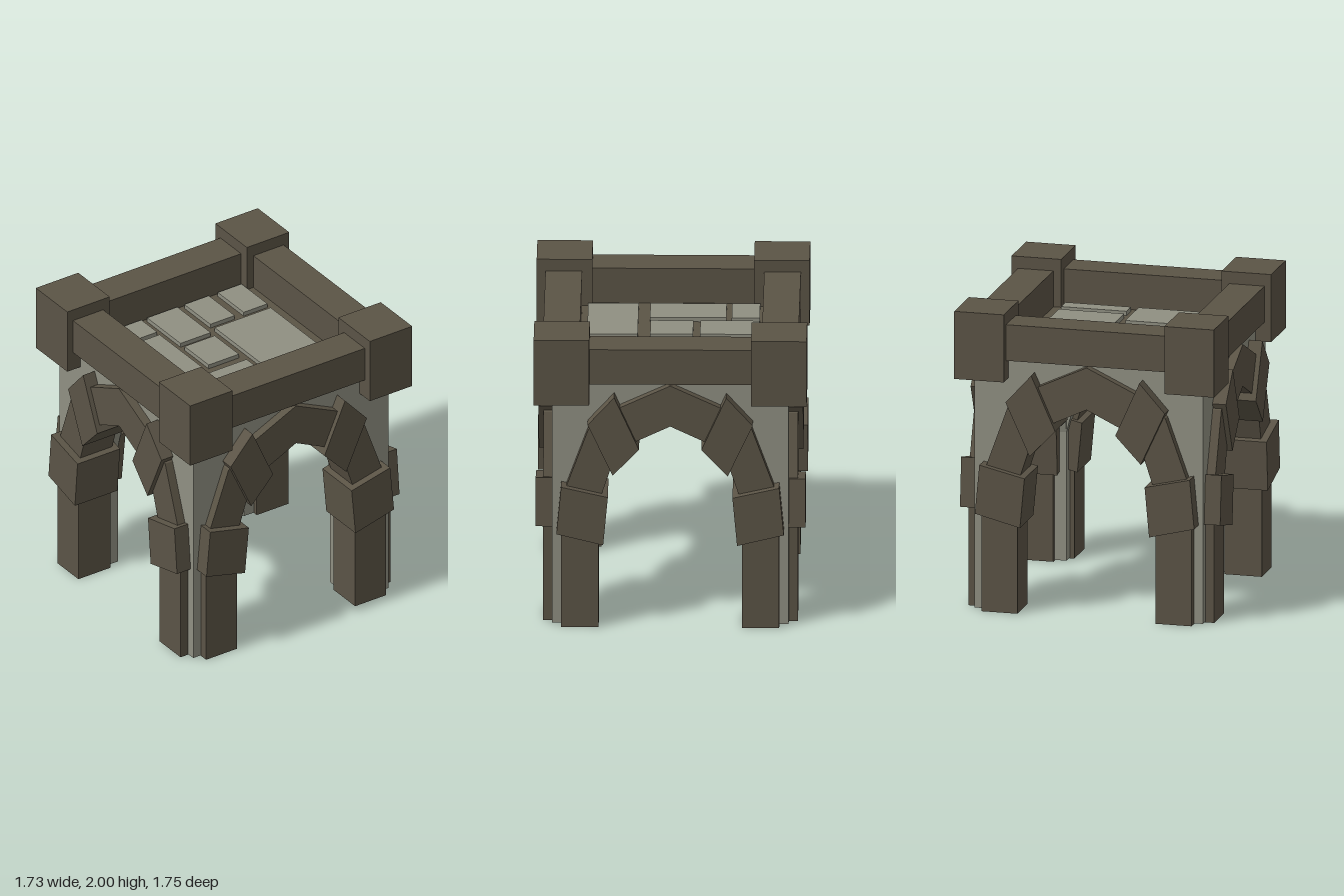
import * as THREE from 'three';

export function createModel() {
  const model = new THREE.Group();
  model.name = 'stonePavilion';
  const darkStone = new THREE.MeshStandardMaterial({ color: 0x5b5446 });
  darkStone.name = 'dark stone';
  const lightStone = new THREE.MeshStandardMaterial({ color: 0x909082 });
  lightStone.name = 'light stone';

  const add = (parent, name, geometry, material) => {
    const mesh = new THREE.Mesh(geometry, material);
    mesh.name = name;
    parent.add(mesh);
    return mesh;
  };
  const box = (parent, name, material, x0, x1, y0, y1, z0, z1) =>
    add(parent, name, new THREE.BoxGeometry(x1 - x0, y1 - y0, z1 - z0), material)
      .position.set((x0 + x1) / 2, (y0 + y1) / 2, (z0 + z1) / 2);
  // Outline in the xy plane, given depth from z0 to z1
  const slab = (parent, name, material, points, z0, z1) => {
    const shape = new THREE.Shape(points.map(([x, y]) => new THREE.Vector2(x, y)));
    const geometry = new THREE.ExtrudeGeometry(shape, { depth: z1 - z0, bevelEnabled: false });
    add(parent, name, geometry, material).position.z = z0;
  };
  const mirror = (points) => points.map(([x, y]) => [-x, y]).reverse();
  // Half outline (foot to apex) completed with its mirror image
  const whole = (half) => [...half, ...mirror(half.slice(0, -1))];

  const outer = whole([[0.70, 0], [0.70, 0.85], [0.665, 0.98], [0.525, 1.37], [0.32, 1.52], [0, 1.67]]);
  const inner = whole([[0.46, 0], [0.46, 0.85], [0.44, 0.92], [0.385, 1.09], [0.22, 1.285], [0, 1.39]]);
  const opening = whole([[0.49, 0.005], [0.49, 0.86], [0.47, 0.94], [0.41, 1.11], [0.24, 1.315], [0, 1.43]]);
  const wall = [[0.76, 0.005], [0.76, 1.67], [-0.76, 1.67], [-0.76, 0.005], ...opening.slice().reverse()];
  const lowBlock = [[0.43, 0.585], [0.73, 0.66], [0.70, 0.985], [0.40, 0.915]];
  const highBlock = [[0.37, 1.06], [0.53, 1.41], [0.36, 1.60], [0.20, 1.24]];

  // Four identical arched sides
  for (let i = 0; i < 4; i++) {
    const side = new THREE.Group();
    side.name = 'archedSide';
    side.rotation.y = i * Math.PI / 2;
    model.add(side);
    slab(side, 'wall', lightStone, wall, 0.49, 0.76);
    slab(side, 'arch', darkStone, [...outer, ...inner.slice().reverse()], 0.57, 0.818);
    for (const flip of [(p) => p, mirror]) {
      slab(side, 'lowArchBlock', darkStone, flip(lowBlock), 0.535, 0.866);
      slab(side, 'highArchBlock', darkStone, flip(highBlock), 0.54, 0.85);
    }
    box(side, 'parapetBeam', darkStone, -0.6, 0.6, 1.68, 1.92, 0.585, 0.82);
  }

  // Corner blocks
  for (const sx of [-1, 1]) for (const sz of [-1, 1]) {
    add(model, 'cornerBlock', new THREE.BoxGeometry(0.33, 0.45, 0.357), darkStone)
      .position.set(sx * 0.699, 1.775, sz * 0.698);
  }

  // Roof deck with paving
  box(model, 'ceiling', lightStone, -0.7, 0.7, 1.64, 1.672, -0.7, 0.7);
  box(model, 'deck', darkStone, -0.76, 0.76, 1.672, 1.681, -0.76, 0.76);
  const tiles = [
    [-0.51, -0.26, -0.56, -0.38], [-0.51, -0.265, -0.345, 0.145], [-0.51, 0.025, 0.22, 0.545],
    [-0.215, 0.02, -0.56, -0.18], [-0.215, 0.02, -0.135, 0.14], [0.075, 0.265, -0.56, -0.265],
    [0.335, 0.52, -0.56, -0.265], [0.075, 0.51, -0.215, 0.375], [0.075, 0.51, 0.435, 0.545],
  ];
  for (const [x0, x1, z0, z1] of tiles) {
    box(model, 'pavingSlab', lightStone, x0, x1, 1.62, 1.71, z0, z1);
  }
  return model;
}
